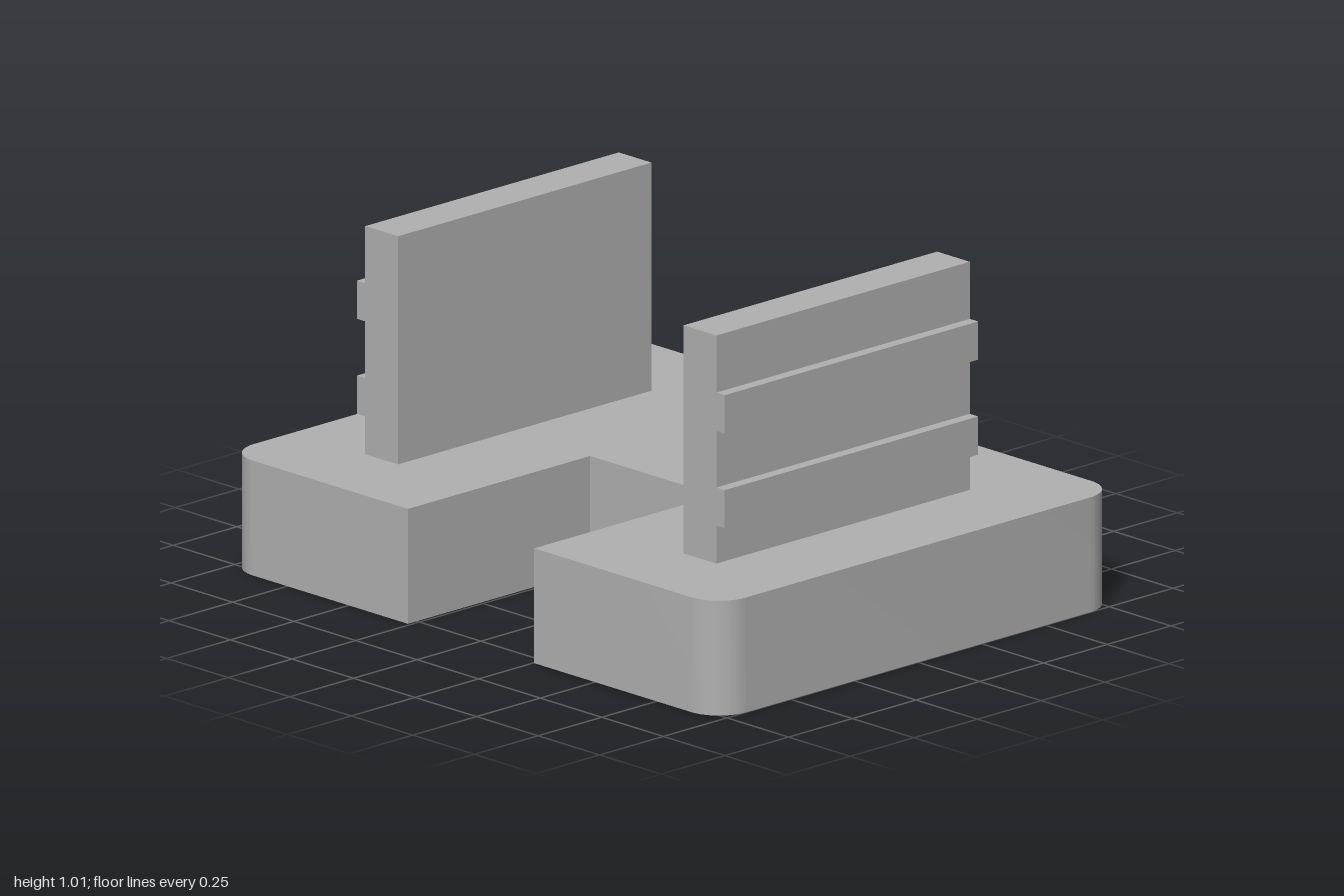
import * as THREE from 'three';
import { toCreasedNormals } from 'three/addons/utils/BufferGeometryUtils.js';

export function createModel() {
  const model = new THREE.Group();
  const grey = new THREE.MeshStandardMaterial({ color: 0xb0b0b0 });
  grey.name = 'grey';

  // Base block: rounded outer corners, square notch open on the -x side
  const w = 0.785, d = 1, r = 0.11, baseHeight = 0.34;
  const outline = new THREE.Shape();
  outline.moveTo(-w + r, -d);
  outline.lineTo(w - r, -d);
  outline.absarc(w - r, -d + r, r, -Math.PI / 2, 0);
  outline.lineTo(w, d - r);
  outline.absarc(w - r, d - r, r, 0, Math.PI / 2);
  outline.lineTo(-w + r, d);
  outline.absarc(-w + r, d - r, r, Math.PI / 2, Math.PI);
  outline.lineTo(-w, 0.26);
  outline.lineTo(-0.07, 0.26);
  outline.lineTo(-0.07, -0.253);
  outline.lineTo(-w, -0.253);
  outline.lineTo(-w, -d + r);
  outline.absarc(-w + r, -d + r, r, Math.PI, Math.PI * 1.5);
  const baseGeometry = new THREE.ExtrudeGeometry(outline, {
    depth: baseHeight, bevelEnabled: false, curveSegments: 12,
  });
  baseGeometry.rotateX(-Math.PI / 2);
  const base = new THREE.Mesh(toCreasedNormals(baseGeometry, 0.5), grey);
  base.name = 'base';
  model.add(base);

  // Upright plates: one profile with two outward ribs, extruded along x
  const inner = 0.58, face = 0.713, rib = 0.747, top = 1.015;
  const xMin = -0.515, xMax = 0.48;
  const points = [[inner, baseHeight], [face, baseHeight]];
  for (const [low, high] of [[0.452, 0.565], [0.733, 0.846]]) {
    points.push([face, low], [rib, low], [rib, high], [face, high]);
  }
  points.push([face, top], [inner, top]);
  const profile = new THREE.Shape(points.map(([z, y]) => new THREE.Vector2(z, y)));

  for (const side of [1, -1]) {
    const geometry = new THREE.ExtrudeGeometry(profile, {
      depth: xMax - xMin, bevelEnabled: false,
    });
    geometry.rotateY(-side * Math.PI / 2);
    geometry.translate(side > 0 ? xMax : xMin, 0, 0);
    const plate = new THREE.Mesh(geometry, grey);
    plate.name = side > 0 ? 'frontRibbedPlate' : 'backRibbedPlate';
    model.add(plate);
  }

  return model;
}
